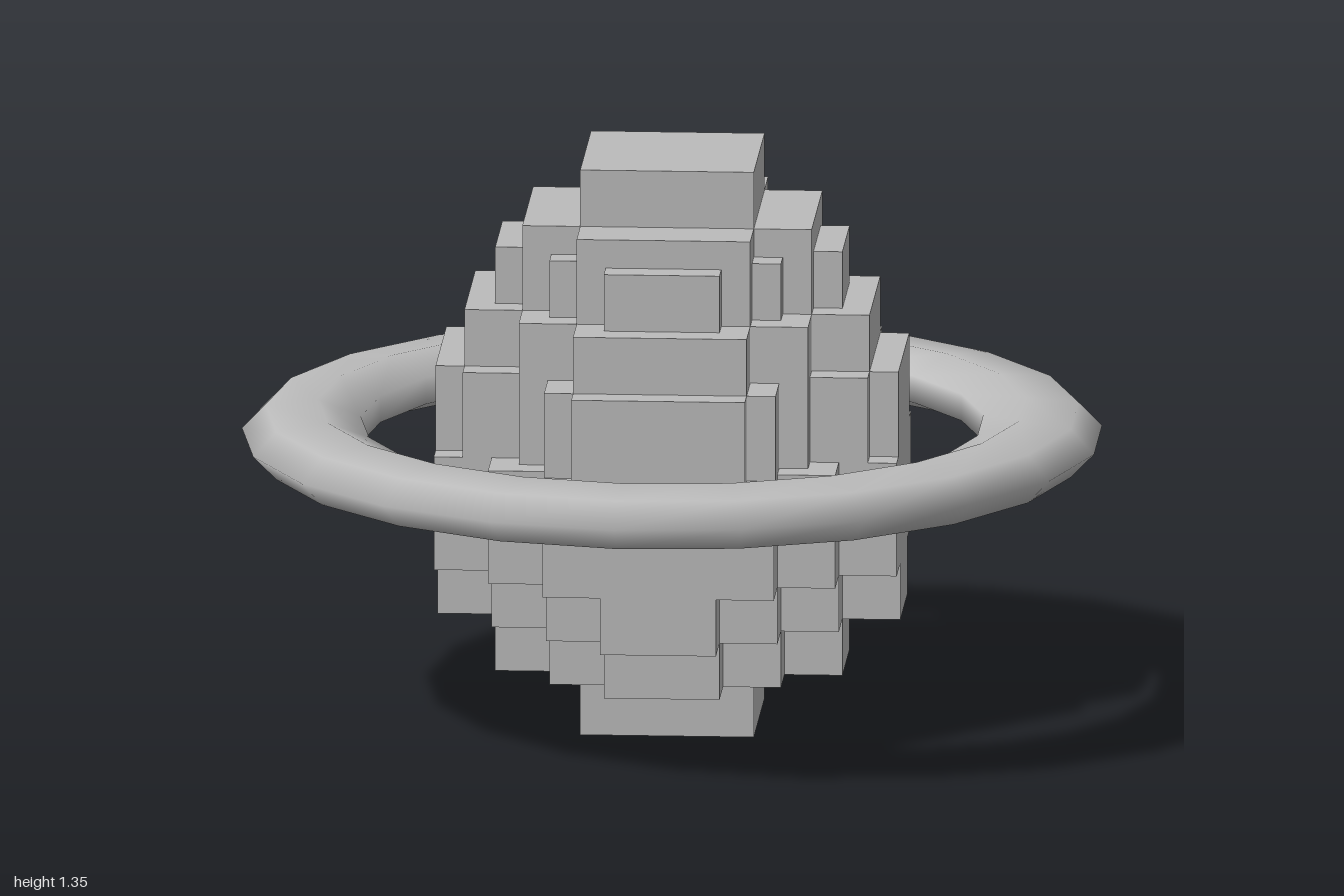
import * as THREE from 'three';

const U = 0.0674; // one block unit
const stone = new THREE.MeshStandardMaterial({ color: 0xbbbbbb });
stone.name = 'plain grey';

// Four-way symmetric stepped outline from [half width, depth] pairs of one quadrant
function steppedShape(steps) {
  const corner = [];
  for (let i = steps.length - 1; i >= 0; i--) {
    const [x, z] = steps[i];
    corner.push([x, z]);
    if (i > 0) corner.push([steps[i - 1][0], z]);
  }
  const points = [];
  let quarter = corner;
  for (let q = 0; q < 4; q++) {
    points.push(...quarter.map(([x, y]) => new THREE.Vector2(x * U, y * U)));
    quarter = quarter.map(([x, y]) => [-y, x]);
  }
  return new THREE.Shape(points);
}

// Body tiers: bottom, top, stepped outline (in block units)
const tiers = [
  [0, 2, [[3, 3]]],
  [2, 4, [[2, 6], [4, 4], [6, 2]]],
  [4, 6, [[2, 8], [4, 6], [6, 4], [8, 2]]],
  [6, 10, [[4, 8], [6, 6], [8, 4]]],
  [10, 13, [[3, 8], [4, 7], [5, 5], [7, 4], [8, 3]]],
  [13, 15, [[3, 7], [5, 5], [7, 3]]],
  [15, 17, [[2, 6], [3, 5], [4, 4], [5, 3], [6, 2]]],
  [17, 18, [[3, 5], [5, 3]]],
  [18, 20, [[3, 3]]],
];

export function createModel() {
  const model = new THREE.Group();
  model.name = 'ringedBlockPlanet';

  // Stepped block globe
  const globe = new THREE.Group();
  globe.name = 'globe';
  tiers.forEach(([y0, y1, steps], i) => {
    const geometry = new THREE.ExtrudeGeometry(steppedShape(steps), {
      depth: (y1 - y0) * U, bevelEnabled: false,
    });
    geometry.rotateX(-Math.PI / 2);
    const tier = new THREE.Mesh(geometry, stone);
    tier.name = 'globeTier' + (i + 1);
    tier.position.y = y0 * U;
    globe.add(tier);
  });
  model.add(globe);

  // Flattened ring around the middle
  const ringGeometry = new THREE.TorusGeometry(0.857, 0.1458, 7, 21);
  ringGeometry.rotateX(Math.PI / 2);
  ringGeometry.rotateY(Math.PI);
  ringGeometry.scale(1, 0.5, 1);
  const ring = new THREE.Mesh(ringGeometry, stone);
  ring.name = 'ring';
  ring.position.y = 10 * U;
  model.add(ring);

  model.position.x = 0.0056;
  return model;
}
